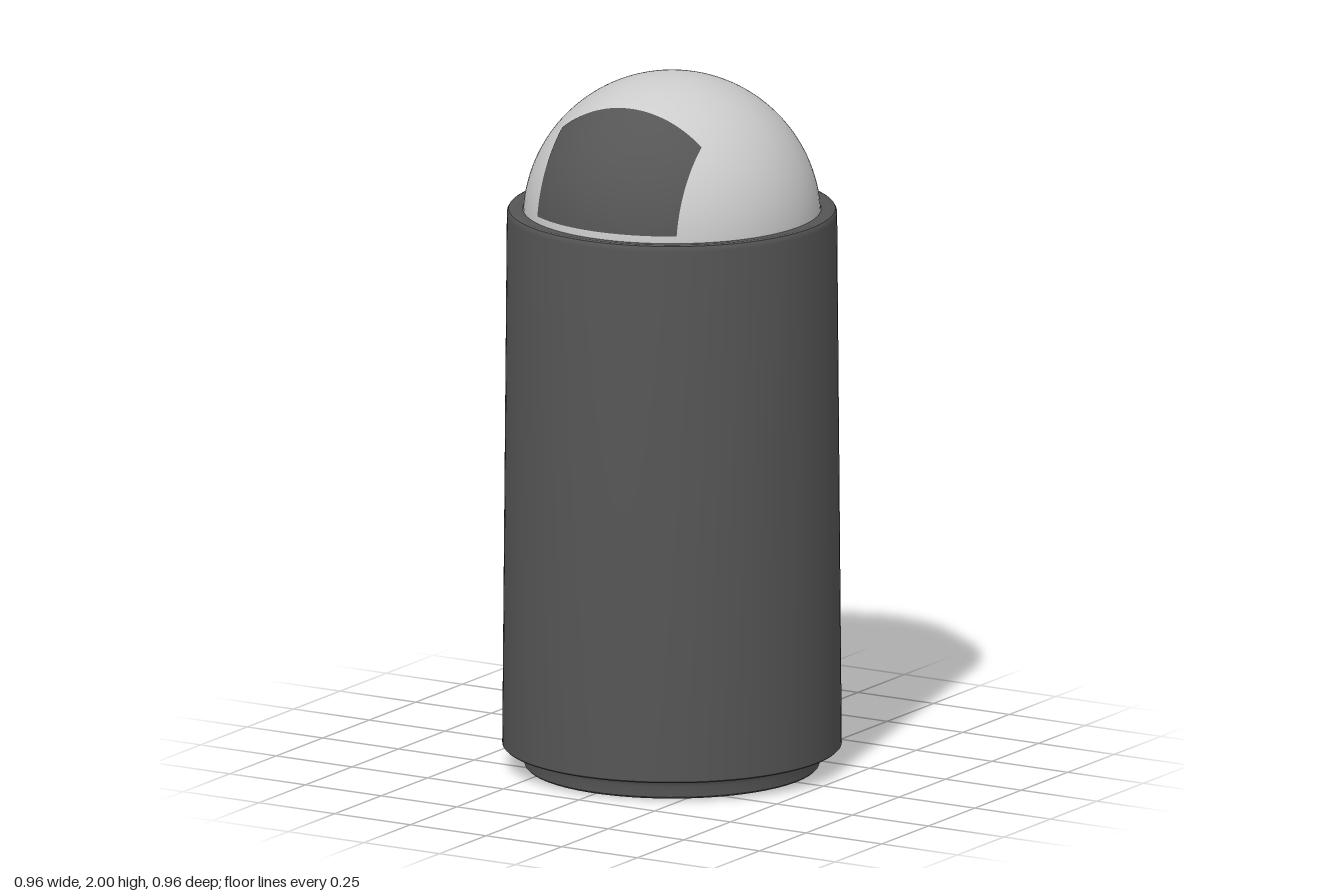
import * as THREE from 'three';
import { toCreasedNormals } from 'three/addons/utils/BufferGeometryUtils.js';
import { ParametricGeometry } from 'three/addons/geometries/ParametricGeometry.js';

const DOME_R = 0.42, DOME_Y = 1.58;

export function createModel() {
  const group = new THREE.Group();
  const darkGrey = new THREE.MeshStandardMaterial({ color: 0x555555 });
  const lightGrey = new THREE.MeshStandardMaterial({ color: 0xcccccc });
  const flapGrey = new THREE.MeshStandardMaterial({ color: 0x555555, side: THREE.DoubleSide });

  const add = (name, geometry, material) => {
    const mesh = new THREE.Mesh(geometry, material);
    mesh.name = name;
    group.add(mesh);
    return mesh;
  };

  // Tapered bin body with a recessed foot and a rounded rim, turned as one profile
  const profile = [
    [0, 0], [0.41, 0], [0.415, 0.005], [0.415, 0.035], [0.418, 0.048], [0.425, 0.056], [0.435, 0.06],
    [0.474, 0.06], [0.478, 0.064], [0.465, 1.595], [0.464, 1.604], [0.46, 1.611], [0.453, 1.614],
    [0.42, 1.61], [0.418, 1.58],
  ].map(([r, y]) => new THREE.Vector2(r, y));
  add('body', toCreasedNormals(new THREE.LatheGeometry(profile, 96), 0.6), darkGrey);

  // Domed lid
  const dome = new THREE.SphereGeometry(DOME_R, 96, 40, 0, Math.PI * 2, 0, Math.PI / 2);
  add('domeLid', dome, lightGrey).position.y = DOME_Y;

  // Swing flap: a patch of the dome, square in plan at the back and level at the bottom
  const R = DOME_R + 0.0015, halfWidth = 0.23, backZ = 0.215, bottom = 0.05;
  const flap = new ParametricGeometry((u, v, target) => {
    const x = (u * 2 - 1) * halfWidth;
    const r = Math.sqrt(R * R - x * x);
    const angle = THREE.MathUtils.lerp(Math.asin(bottom / r), Math.acos(backZ / r), v);
    target.set(x, r * Math.sin(angle), r * Math.cos(angle));
  }, 32, 24);
  add('flap', flap, flapGrey).position.y = DOME_Y;

  return group;
}
